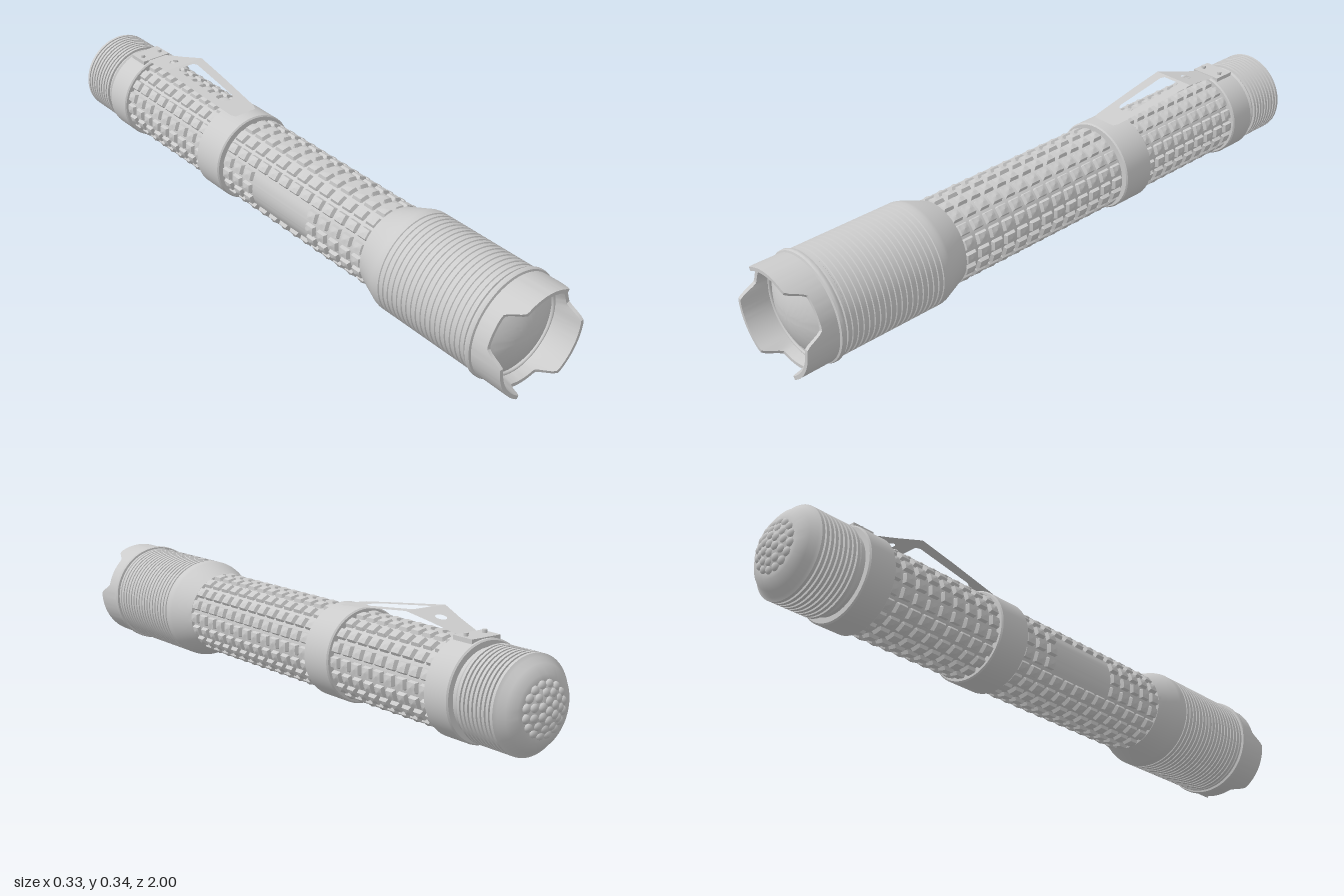
import * as THREE from 'three';
import { toCreasedNormals } from 'three/addons/utils/BufferGeometryUtils.js';

const AXIS_Y = 0.163;
const mat = new THREE.MeshStandardMaterial({ color: 0xcccccc });
const thinMat = new THREE.MeshStandardMaterial({ color: 0xcccccc, side: THREE.DoubleSide });

function add(parent, name, geometry, material = mat) {
  const mesh = new THREE.Mesh(geometry, material);
  mesh.name = name;
  parent.add(mesh);
  return mesh;
}

// Turned part along z; profile is a list of [radius, z], z ascending on outer faces
function turned(profile, segments = 64) {
  const g = new THREE.LatheGeometry(profile.map(([r, z]) => new THREE.Vector2(r, z)), segments);
  g.rotateX(Math.PI / 2);
  return toCreasedNormals(g, 0.6);
}

// Skin over a grid of rings: point(i, j) gives [angle, radius, z]
function skin(around, rings, point) {
  const pos = [], index = [];
  for (let j = 0; j < rings; j++) {
    for (let i = 0; i < around; i++) {
      const [a, r, z] = point(i, j);
      pos.push(r * Math.cos(a), r * Math.sin(a), z);
      if (j === rings - 1) continue;
      const n = (i + 1) % around;
      const p = j * around + i, q = j * around + n;
      index.push(p, q, p + around, q, q + around, p + around);
    }
  }
  const g = new THREE.BufferGeometry();
  g.setAttribute('position', new THREE.Float32BufferAttribute(pos, 3));
  g.setIndex(index);
  g.computeVertexNormals();
  return toCreasedNormals(g, 0.5);
}

// Knurled grip: rows of raised pillow pads; blank(padIndex, z) leaves pads out
const STEP = [0, 0.1, 0.2, 0.5, 0.8, 0.9];
const RISE = [0, 0, 0.75, 1, 0.75, 0];
function grip(z0, z1, rows, blank = () => false) {
  const pads = 18, n = STEP.length, pitch = (z1 - z0) / rows;
  return skin(pads * n, rows * n + 1, (i, j) => {
    const col = Math.floor(i / n), row = Math.floor(j / n);
    const z = z0 + (row + STEP[j % n]) * pitch;
    const angle = (col + STEP[i % n] - 0.5) / pads * Math.PI * 2;
    const lift = blank(col, z0 + (row + 0.5) * pitch) ? 0 : Math.min(RISE[i % n], RISE[j % n]);
    return [angle, 0.118 + 0.014 * lift, z];
  });
}

// Ribs as profile points between two z values
function ribs(z0, z1, count, r, depth) {
  const out = [], pitch = (z1 - z0) / count;
  for (let i = 0; i < count; i++) {
    const z = z0 + i * pitch;
    out.push([r, z], [r, z + pitch * 0.6], [r - depth, z + pitch * 0.7], [r - depth, z + pitch * 0.95]);
  }
  return out;
}

// Plain band with small chamfers
const band = (z0, z1, r) => turned([
  [0.11, z0], [r - 0.004, z0], [r, z0 + 0.004], [r, z1 - 0.004], [r - 0.004, z1], [0.11, z1],
]);

// Flat clip panel drawn in (x, z), tilted so height runs linearly from (z0, y0) to (z1, y1)
function clipPanel(outline, hole, z0, y0, z1, y1) {
  const shape = new THREE.Shape(outline.map(([x, z]) => new THREE.Vector2(x, z)));
  shape.holes.push(hole);
  const g = new THREE.ShapeGeometry(shape, 10);
  const p = g.attributes.position;
  for (let i = 0; i < p.count; i++) {
    const z = p.getY(i);
    p.setXYZ(i, p.getX(i), y0 + (y1 - y0) * (z - z0) / (z1 - z0) - AXIS_Y, z);
  }
  g.computeVertexNormals();
  return g;
}

export function createModel() {
  const model = new THREE.Group();
  model.name = 'flashlight';
  const body = new THREE.Group();
  body.name = 'body';
  body.position.y = AXIS_Y;
  model.add(body);

  // Head: taper, ribbed barrel and rings behind the bezel
  add(body, 'head', turned([
    [0.11, 0.445], [0.126, 0.45], [0.132, 0.465], [0.155, 0.525], [0.157, 0.535],
    ...ribs(0.545, 0.865, 18, 0.157, 0.003),
    [0.157, 0.866], [0.157, 0.874], [0.152, 0.876], [0.152, 0.879],
    [0.161, 0.881], [0.163, 0.885], [0.163, 0.892], [0.161, 0.896],
    [0.154, 0.898], [0.154, 0.903], [0.13, 0.905],
  ], 80));

  // Bezel with three broad teeth, one at the top
  const section = [[0.157, 0], [0.158, 1], [0.147, 1], [0.138, 0.3], [0.138, 0]];
  const around = 120;
  add(body, 'bezel', skin(around, section.length, (i, j) => {
    const a = i / around * Math.PI * 2;
    const third = Math.PI * 2 / 3;
    const off = Math.abs(((a - Math.PI / 2 + third * 3.5) % third) - third / 2);
    const front = 1 - 0.052 * THREE.MathUtils.smoothstep(off, 0.5, 0.76);
    const [r, t] = section[j];
    return [a, r, 0.9 + (front - 0.9) * t];
  }), thinMat);

  // Domed lens and its retaining ring
  const lens = [];
  for (let i = 0; i <= 12; i++) {
    const r = 0.134 * (1 - i / 12);
    lens.push([r, 0.91 + 0.045 * (1 - (r / 0.134) ** 2)]);
  }
  add(body, 'lens', turned(lens));
  const ring = add(body, 'lensRing', new THREE.TorusGeometry(0.137, 0.005, 8, 64));
  ring.position.z = 0.915;

  // Grips; the front one has a smooth panel on its right side
  add(body, 'frontGrip', grip(-0.18, 0.455, 13,
    (col, z) => Math.abs(col - 9) <= 1 && z > -0.01 && z < 0.22));
  add(body, 'rearGrip', grip(-0.7, -0.28, 9));

  // Collars
  add(body, 'middleCollar', band(-0.29, -0.18, 0.14));
  add(body, 'rearCollar', band(-0.78, -0.69, 0.14));

  // Threaded tail cap
  add(body, 'tailCap', turned([
    [0, -0.975], [0.075, -0.975], [0.088, -0.972], [0.112, -0.955], [0.124, -0.938],
    ...ribs(-0.932, -0.802, 9, 0.133, 0.007),
    [0.128, -0.8], [0.12, -0.79], [0.12, -0.775],
  ]));

  // Tail button: shallow dome covered in faceted studs
  add(body, 'tailButton', turned([[0, -0.994], [0.03, -0.991], [0.055, -0.984], [0.075, -0.972]], 32));
  const stud = new THREE.IcosahedronGeometry(0.013, 1);
  [[0, 1, -0.991], [0.024, 6, -0.989], [0.045, 11, -0.983], [0.064, 16, -0.976]].forEach(([r, count, z]) => {
    for (let i = 0; i < count; i++) {
      const a = (i + 0.5) / count * Math.PI * 2;
      const s = add(body, 'buttonStud', stud);
      s.position.set(r * Math.cos(a), r * Math.sin(a), z);
      s.scale.z = 0.7;
    }
  });

  // Pocket clip: two thin panels meeting at a raised bend
  const clip = new THREE.Group();
  clip.name = 'clip';
  body.add(clip);
  const slot = new THREE.Path();
  slot.absarc(0, -0.325, 0.025, 0, Math.PI, false);
  slot.lineTo(-0.035, -0.515);
  slot.lineTo(-0.028, -0.528);
  slot.lineTo(0.028, -0.528);
  slot.lineTo(0.035, -0.515);
  add(clip, 'clipArm', clipPanel(
    [[-0.07, -0.54], [0.07, -0.54], [0.062, -0.42], [0.046, -0.235], [0.038, -0.22],
      [-0.038, -0.22], [-0.046, -0.235], [-0.062, -0.42]],
    slot, -0.22, 0.304, -0.54, 0.343), thinMat);
  const eye = new THREE.Path();
  eye.absarc(0, -0.6, 0.016, 0, Math.PI * 2, false);
  add(clip, 'clipRoot', clipPanel(
    [[-0.035, -0.7], [0.035, -0.7], [0.05, -0.62], [0.07, -0.54], [-0.07, -0.54], [-0.05, -0.62]],
    eye, -0.7, 0.304, -0.54, 0.343), thinMat);

  // Clip mount with two rivets
  const mount = add(clip, 'clipMount', new THREE.BoxGeometry(0.1, 0.02, 0.07));
  mount.position.set(0, 0.133, -0.735);
  for (const side of [-1, 1]) {
    const rivet = add(clip, 'rivet', new THREE.CylinderGeometry(0.007, 0.007, 0.02, 12));
    rivet.position.set(side * 0.033, 0.142, -0.73);
  }
  return model;
}
